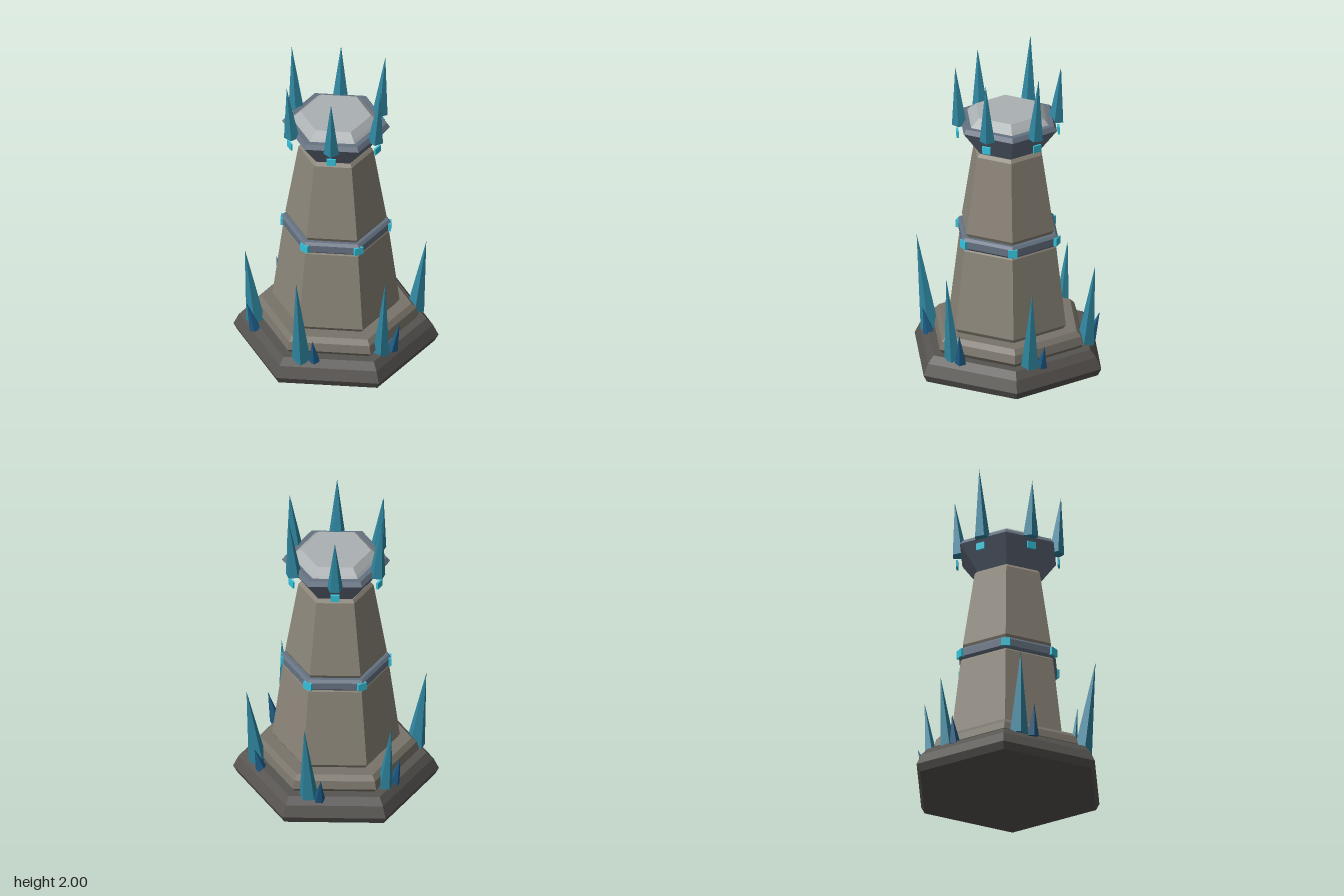
import * as THREE from 'three';

const material = (color) => new THREE.MeshStandardMaterial({ color, flatShading: true });
const MAT = {
  base: material(0x575451),
  plinth: material(0x79746a),
  stone: material(0x8b8579),
  metal: material(0x667282),
  cap: material(0xabb0b2),
  crystal: material(0x2f86a0),
  shard: material(0x1d5b85),
  glyph: material(0x35c3dc),
};

// Six-sided solid from a profile of [radius, height], corners on the x axis
function hexPart(name, profile, mat) {
  const points = [
    new THREE.Vector2(0, profile[0][1]),
    ...profile.map(([r, y]) => new THREE.Vector2(r, y)),
    new THREE.Vector2(0, profile[profile.length - 1][1]),
  ];
  const mesh = new THREE.Mesh(new THREE.LatheGeometry(points, 6, Math.PI / 2), mat);
  mesh.name = name;
  return mesh;
}

// Five-sided spike from the centre of its foot to its tip
function spike(name, foot, tip, radius, mat) {
  const a = new THREE.Vector3(...foot);
  const axis = new THREE.Vector3(...tip).sub(a);
  const height = axis.length();
  const geometry = new THREE.ConeGeometry(radius, height, 5).translate(0, height / 2, 0);
  const mesh = new THREE.Mesh(geometry, mat);
  mesh.position.copy(a);
  mesh.quaternion.setFromUnitVectors(new THREE.Vector3(0, 1, 0), axis.normalize());
  mesh.name = name;
  return mesh;
}

// Six boxes set around the tower, facing outward
function glyphRing(name, size, radius, y, startAngle) {
  const group = new THREE.Group();
  group.name = name;
  for (let i = 0; i < 6; i++) {
    const angle = startAngle + (i * Math.PI) / 3;
    const box = new THREE.Mesh(new THREE.BoxGeometry(...size), MAT.glyph);
    box.position.set(Math.sin(angle) * radius, y, Math.cos(angle) * radius);
    box.rotation.y = angle;
    box.name = 'glyph';
    group.add(box);
  }
  return group;
}

export function createModel() {
  const model = new THREE.Group();
  model.name = 'crystalTower';

  // Stonework, bottom to top
  const tower = new THREE.Group();
  tower.name = 'tower';
  tower.position.z = 0.004;
  tower.add(
    hexPart('base', [[0.595, 0], [0.618, 0.045], [0.585, 0.115], [0.545, 0.16]], MAT.base),
    hexPart('plinth', [[0.48, 0.16], [0.5, 0.185], [0.485, 0.235], [0.455, 0.265]], MAT.plinth),
    hexPart('lowerShaft', [[0.365, 0.265], [0.383, 0.29], [0.32, 0.79], [0.31, 0.805]], MAT.stone),
    hexPart('band', [[0.315, 0.8], [0.332, 0.815], [0.332, 0.86], [0.315, 0.876]], MAT.metal),
    hexPart('upperShaft', [[0.29, 0.875], [0.305, 0.9], [0.226, 1.385], [0.208, 1.405]], MAT.stone),
    hexPart('collar', [[0.2, 1.4], [0.325, 1.565], [0.305, 1.592]], MAT.metal),
    hexPart('cap', [[0.272, 1.59], [0.255, 1.607], [0.212, 1.642]], MAT.cap),
    glyphRing('collarGlyphs', [0.055, 0.045, 0.012], 0.305, 1.5, 0),
    glyphRing('bandGlyphs', [0.056, 0.05, 0.03], 0.318, 0.836, Math.PI / 6),
  );
  model.add(tower);

  // Crown of spikes over the collar faces: [foot x, foot z, tip height]
  const crown = new THREE.Group();
  crown.name = 'crown';
  [
    [0, 0.293, 1.935], [0.252, 0.148, 1.93], [0.252, -0.142, 1.962],
    [0, -0.287, 1.91], [-0.252, -0.142, 2], [-0.252, 0.148, 1.92],
  ].forEach(([x, z, top]) => {
    crown.add(spike('crownSpike', [x, 1.56, z], [x * 1.12, top, z * 1.1], 0.049, MAT.crystal));
  });
  model.add(crown);

  // Crystal clusters on the base: foot, tip and radius of each spike and its shard
  const clusters = [
    [[0.155, 0.155, -0.452], [0.18, 0.67, -0.505], 0.057, [0.09, 0.15, -0.485], [0.08, 0.32, -0.542]],
    [[0.47, 0.16, -0.09], [0.535, 0.66, -0.095], 0.057, [0.445, 0.145, -0.162], [0.485, 0.29, -0.175]],
    [[0.307, 0.15, 0.362], [0.335, 0.69, 0.405], 0.053, [0.37, 0.15, 0.32], [0.415, 0.35, 0.335]],
    [[-0.165, 0.14, 0.455], [-0.19, 0.75, 0.538], 0.061, [-0.085, 0.145, 0.472], [-0.095, 0.31, 0.51]],
    [[-0.475, 0.155, 0.088], [-0.54, 0.67, 0.105], 0.06, [-0.47, 0.14, 0.175], [-0.52, 0.33, 0.185]],
    [[-0.3, 0.15, -0.347], [-0.34, 0.6, -0.385], 0.049, [-0.355, 0.15, -0.3], [-0.39, 0.33, -0.315]],
  ];
  for (const [foot, tip, radius, shardFoot, shardTip] of clusters) {
    const cluster = new THREE.Group();
    cluster.name = 'crystalCluster';
    cluster.add(
      spike('largeCrystal', foot, tip, radius, MAT.crystal),
      spike('smallShard', shardFoot, shardTip, 0.036, MAT.shard),
    );
    model.add(cluster);
  }
  return model;
}
